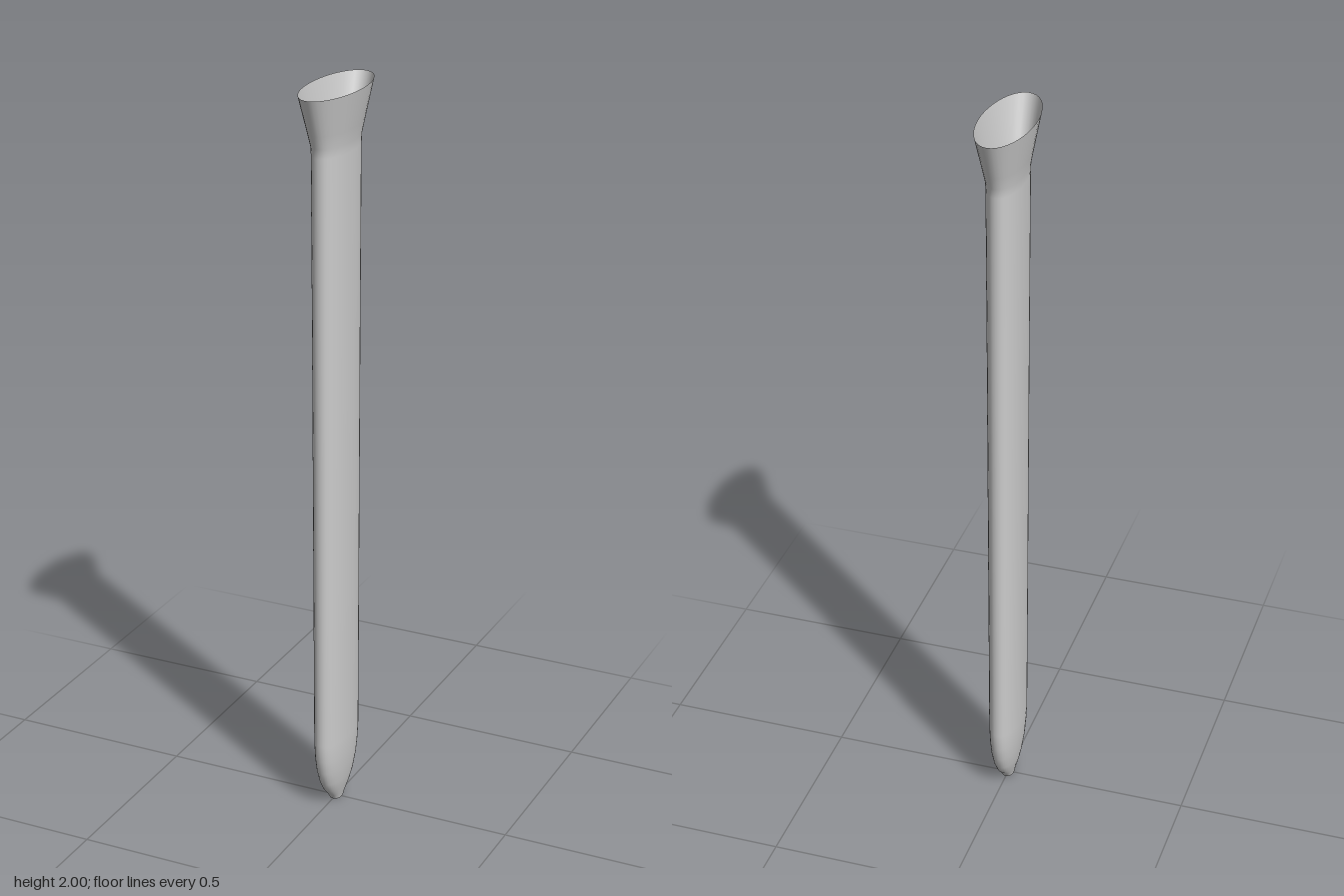
import * as THREE from 'three';

// Cross-sections from tip to rim: height, half width (x), half depth (z), superellipse power
const SECTIONS = [
  [0.0, 0.016, 0.023, 2.3],
  [0.015, 0.019, 0.034, 2.2],
  [0.04, 0.026, 0.058, 2.2],
  [0.07, 0.032, 0.077, 2.2],
  [0.11, 0.037, 0.092, 2.2],
  [0.15, 0.04, 0.099, 2.2],
  [0.2, 0.042, 0.103, 2.2],
  [0.8, 0.043, 0.104, 2.2],
  [1.4, 0.044, 0.105, 2.2],
  [1.84, 0.045, 0.107, 2.2],
  [1.865, 0.046, 0.11, 2.15],
  [1.9, 0.052, 0.124, 2.1],
  [2.0, 0.07, 0.165, 2.0],
];
const SIDES = 40;

// Skin closed oval rings into one smooth open shell
function loft(sections, sides) {
  const positions = [];
  const index = [];
  for (const [y, rx, rz, power] of sections) {
    for (let i = 0; i < sides; i++) {
      const a = (i / sides) * Math.PI * 2;
      const c = Math.cos(a), s = Math.sin(a);
      positions.push(
        rx * Math.sign(c) * Math.abs(c) ** (2 / power),
        y,
        rz * Math.sign(s) * Math.abs(s) ** (2 / power),
      );
    }
  }
  for (let r = 0; r < sections.length - 1; r++) {
    for (let i = 0; i < sides; i++) {
      const j = (i + 1) % sides;
      const a = r * sides + i, b = r * sides + j;
      index.push(a, a + sides, b, b, a + sides, b + sides);
    }
  }
  const geometry = new THREE.BufferGeometry();
  geometry.setAttribute('position', new THREE.Float32BufferAttribute(positions, 3));
  geometry.setIndex(index);
  geometry.computeVertexNormals();
  return geometry;
}

export function createModel() {
  const group = new THREE.Group();
  group.name = 'flaredTube';

  // Thin hollow tube: open rounded tip, long oval shaft, flared mouth
  const shell = new THREE.Mesh(
    loft(SECTIONS, SIDES),
    new THREE.MeshStandardMaterial({ color: 0xcccccc, side: THREE.DoubleSide }),
  );
  shell.name = 'tubeShell';
  group.add(shell);
  return group;
}
